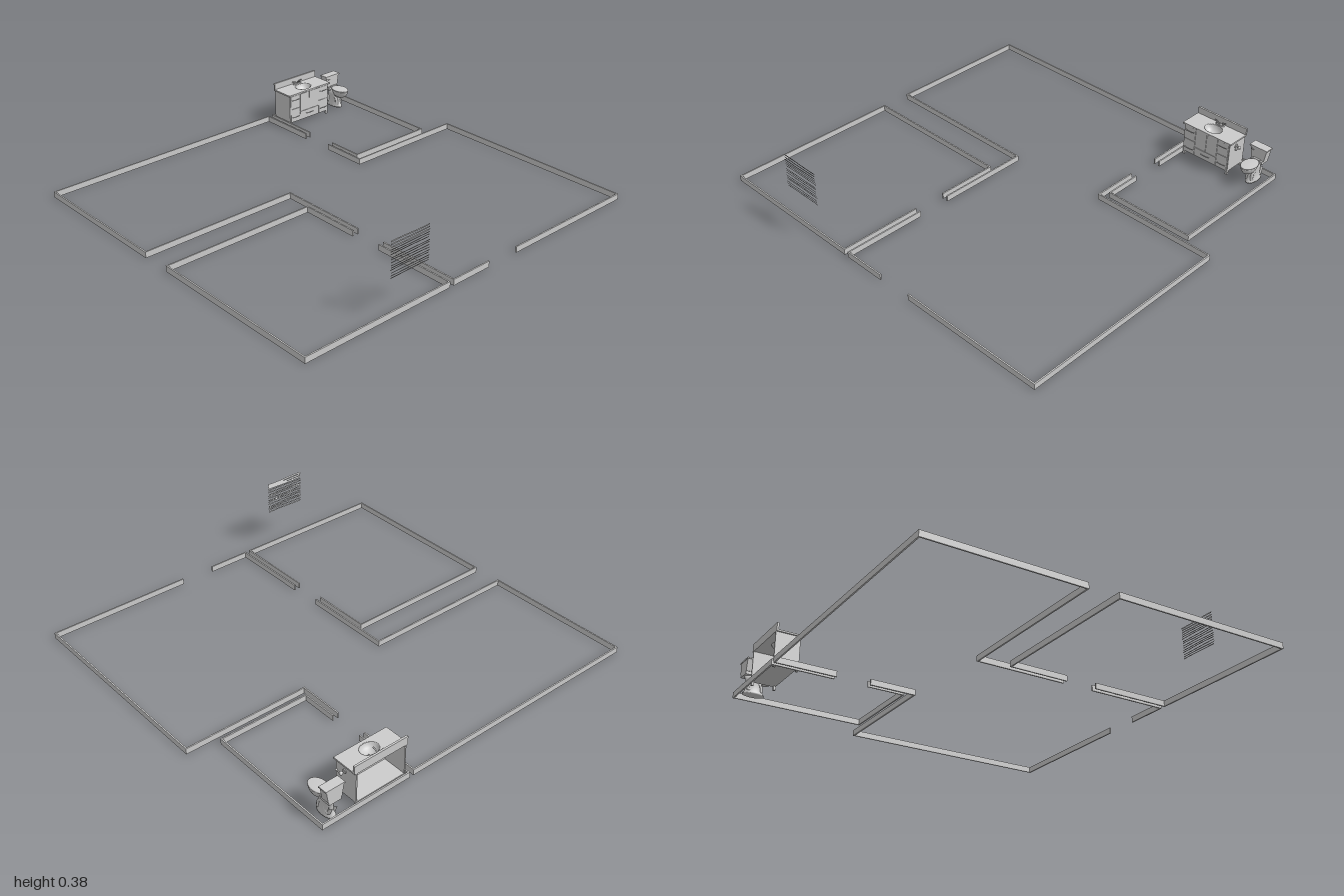
import * as THREE from 'three';

const grey = new THREE.MeshStandardMaterial({ color: 0xcccccc });
const greyThin = new THREE.MeshStandardMaterial({ color: 0xcccccc, side: THREE.DoubleSide });

function add(parent, name, geometry, x = 0, y = 0, z = 0, material = grey) {
  const mesh = new THREE.Mesh(geometry, material);
  mesh.name = name;
  mesh.position.set(x, y, z);
  parent.add(mesh);
  return mesh;
}
const box = (parent, name, w, h, d, x, y, z) => add(parent, name, new THREE.BoxGeometry(w, h, d), x, y, z);
const tube = (pts, r, n = 24) => new THREE.TubeGeometry(
  new THREE.CatmullRomCurve3(pts.map(p => new THREE.Vector3(...p))), n, r, 8);
const lathe = (pts, n = 40) => new THREE.LatheGeometry(pts.map(p => new THREE.Vector2(...p)), n);

// Skirting board following a plan of [x, z] corners
function skirting(parent, name, pts) {
  const group = new THREE.Group();
  group.name = name;
  const h = 0.03, t = 0.007;
  for (let i = 0; i < pts.length - 1; i++) {
    const [x0, z0] = pts[i], [x1, z1] = pts[i + 1];
    const start = i > 0 ? t / 2 : 0, end = i < pts.length - 2 ? t / 2 : 0;
    const len = Math.hypot(x1 - x0, z1 - z0);
    const ux = (x1 - x0) / len, uz = (z1 - z0) / len;
    const shift = (len + end - start) / 2;
    const board = box(group, 'skirtingBoard', len + start + end, h, t, x0 + ux * shift, h / 2, z0 + uz * shift);
    board.rotation.y = Math.atan2(-uz, ux);
  }
  parent.add(group);
}

// Vanity: cabinet open at the back, drawers, doors, basin and tap
function vanity() {
  const g = new THREE.Group();
  g.name = 'vanity';
  const w = 0.274, front = 0.058, back = -0.066, y0 = 0.02, y1 = 0.177;
  const depth = front - back, mid = (front + back) / 2;
  for (const s of [-1, 1]) {
    box(g, 'sidePanel', 0.006, y1 - y0, depth, s * (w / 2 - 0.003), (y0 + y1) / 2, mid);
    for (const z of [back + 0.006, front - 0.006])
      box(g, 'leg', 0.012, y0, 0.012, s * (w / 2 - 0.006), y0 / 2, z);
  }
  box(g, 'cabinetFloor', w - 0.012, 0.005, depth, 0, y0 + 0.0025, mid);
  box(g, 'frontPanel', w - 0.012, y1 - y0, 0.005, 0, (y0 + y1) / 2, front - 0.0025);

  const face = (name, width, yLow, yHigh, x) =>
    box(g, name, width, yHigh - yLow, 0.003, x, (yLow + yHigh) / 2, front + 0.0015);
  const handle = (x, y) => add(g, 'handle',
    tube([[-0.024, 0, 0], [-0.022, 0, 0.005], [0.022, 0, 0.005], [0.024, 0, 0]], 0.0015), x, y, front + 0.002);
  for (const s of [-1, 1]) {
    face('upperDrawer', 0.064, 0.1, 0.173, s * 0.1);
    handle(s * 0.1, 0.15);
    face('lowerDrawer', 0.064, 0.024, 0.097, s * 0.1);
    handle(s * 0.1, 0.05);
    face('door', 0.064, 0.072, 0.173, s * 0.033);
  }
  face('middleDrawer', 0.13, 0.024, 0.069, 0);
  handle(0, 0.05);

  // Worktop with an oval cut-out and a splashback
  const top = new THREE.Shape();
  top.moveTo(-0.146, -0.066).lineTo(0.146, -0.066).lineTo(0.146, 0.066).lineTo(-0.146, 0.066).closePath();
  const hole = new THREE.Path();
  hole.absellipse(0, -0.01, 0.046, 0.037, 0, Math.PI * 2, true);
  top.holes.push(hole);
  const worktop = new THREE.ExtrudeGeometry(top, { depth: 0.008, bevelEnabled: false, curveSegments: 24 });
  add(g, 'worktop', worktop.rotateX(-Math.PI / 2), 0, y1, 0);
  box(g, 'splashback', 0.292, 0.035, 0.01, 0, y1 + 0.0255, -0.061);
  const bowl = lathe([[0, -0.032], [0.018, -0.031], [0.034, -0.022], [0.043, -0.008], [0.046, 0], [0.048, 0.001]]);
  add(g, 'basin', bowl.scale(1, 1, 0.82), 0, y1 + 0.008, 0.01, greyThin);
  add(g, 'plughole', new THREE.CylinderGeometry(0.004, 0.004, 0.002, 16), 0, y1 - 0.023, 0.01);

  // Tap with a straight rising spout
  const deck = y1 + 0.008;
  add(g, 'tapBase', new THREE.CylinderGeometry(0.026, 0.028, 0.004, 24).scale(1, 1, 0.35), 0, deck + 0.002, -0.042);
  add(g, 'spout', tube([[0, 0, -0.042], [0, 0.01, -0.038], [0, 0.022, -0.018], [0, 0.022, -0.013]], 0.0035), 0, deck, 0);
  for (const s of [-1, 1]) {
    add(g, 'tapStem', new THREE.CylinderGeometry(0.004, 0.005, 0.014, 16), s * 0.018, deck + 0.007, -0.042);
    const lever = box(g, 'tapLever', 0.02, 0.003, 0.005, s * 0.023, deck + 0.016, -0.042);
    lever.rotation.z = s * 0.2;
  }

  // Paper holder on the side panel
  add(g, 'holderRose', new THREE.CylinderGeometry(0.011, 0.011, 0.004, 20).rotateZ(Math.PI / 2), w / 2 + 0.002, 0.145, 0.005);
  add(g, 'holderArm', tube([[0, 0, 0], [0.016, 0, 0], [0.02, 0, 0.004], [0.02, 0, 0.028]], 0.003), w / 2, 0.145, 0.005);
  add(g, 'holderEnd', new THREE.SphereGeometry(0.006, 16, 10), w / 2 + 0.02, 0.145, 0.033);
  add(g, 'holderElbow', new THREE.SphereGeometry(0.009, 16, 10), w / 2 + 0.02, 0.145, 0.005);
  return g;
}

// Toilet: tapered cistern, oval bowl and curved pedestal
function toilet() {
  const g = new THREE.Group();
  g.name = 'toilet';
  const tank = new THREE.BoxGeometry(0.092, 0.062, 0.042);
  const p = tank.attributes.position;
  for (let i = 0; i < p.count; i++) if (p.getY(i) < 0) p.setX(i, p.getX(i) * 0.78);
  tank.computeVertexNormals();
  add(g, 'cistern', tank, 0, 0.138, -0.058);
  box(g, 'cisternLid', 0.1, 0.007, 0.048, 0, 0.1715, -0.057);
  add(g, 'flushLever', tube([[0, 0, 0], [0, 0, 0.005], [0.016, -0.002, 0.006]], 0.002), -0.036, 0.156, -0.037);

  const oval = (name, pts, y, z, sx, sz) =>
    add(g, name, lathe(pts).scale(sx, 1, sz), 0, y, z, greyThin);
  oval('bowl', [[0, 0.001], [0.45, 0.004], [0.75, 0.014], [0.93, 0.03], [1, 0.043], [0.97, 0.045], [0.8, 0.044], [0.65, 0.02], [0, 0.01]],
    0.061, 0.027, 0.037, 0.054);
  oval('seatLid', [[0, 0.008], [0.9, 0.007], [1, 0.004], [1, 0], [0.9, 0], [0, 0]], 0.106, 0.026, 0.038, 0.055);
  box(g, 'seatHinge', 0.04, 0.008, 0.01, 0, 0.11, -0.03);
  box(g, 'bowlShelf', 0.066, 0.016, 0.052, 0, 0.1, -0.053);
  oval('pedestal', [[0, 0], [1.05, 0], [1.05, 0.008], [0.9, 0.016], [0.78, 0.04], [0.82, 0.07], [1, 0.097], [0, 0.097]],
    0, -0.021, 0.026, 0.052);
  for (const s of [-1, 1])
    add(g, 'trapway', tube([[0, 0.015, 0.015], [0, 0.05, 0.008], [0, 0.066, -0.018], [0, 0.035, -0.03], [0, 0.022, -0.05], [0, 0.06, -0.066]], 0.008, 32),
      s * 0.013, 0, 0);
  return g;
}

// Window blind of loose, uneven slats
function blind() {
  const g = new THREE.Group();
  g.name = 'windowBlind';
  let seed = 7;
  const rnd = () => ((seed = (seed * 16807) % 2147483647) / 2147483647) - 0.5;
  for (let i = 0; i < 15; i++) {
    const slat = new THREE.PlaneGeometry(0.219, i < 3 ? 0.009 : 0.006, 20, 1);
    const p = slat.attributes.position, phase = rnd() * 6, sag = rnd() * 0.005;
    for (let j = 0; j < p.count; j++) p.setY(j, p.getY(j) + sag * Math.sin(p.getX(j) * 25 + phase));
    slat.rotateX(0.3);
    slat.computeVertexNormals();
    add(g, 'slat', slat, 0, 0.37 - i * 0.0118, rnd() * 0.006, greyThin);
  }
  return g;
}

export function createModel() {
  const model = new THREE.Group();
  model.name = 'floorPlan';

  skirting(model, 'mainRoomSkirting', [[0.343, -0.616], [0.343, -0.928], [-0.996, -0.928], [-0.996, -0.154], [-0.161, -0.154], [-0.161, 0.322]]);
  skirting(model, 'entranceSkirting', [[-0.161, 0.49], [-0.161, 0.915], [0.062, 0.915]]);
  skirting(model, 'hallSkirting', [[0.245, 0.915], [0.996, 0.915], [0.996, -0.201], [0.343, -0.201], [0.343, -0.44]]);
  skirting(model, 'bathroomSkirting', [[0.371, -0.616], [0.371, -0.928], [0.843, -0.928], [0.843, -0.248], [0.371, -0.248], [0.371, -0.44]]);
  skirting(model, 'bedroomSkirting', [[-0.19, 0.322], [-0.19, 0.007], [-0.996, 0.007], [-0.996, 0.915], [-0.19, 0.915], [-0.19, 0.49]]);

  const sink = vanity();
  sink.position.set(0.519, 0, -0.851);
  const wc = toilet();
  wc.position.set(0.766, 0, -0.838);
  const shade = blind();
  shade.position.set(-0.449, 0, 0.93);
  model.add(sink, wc, shade);
  return model;
}
